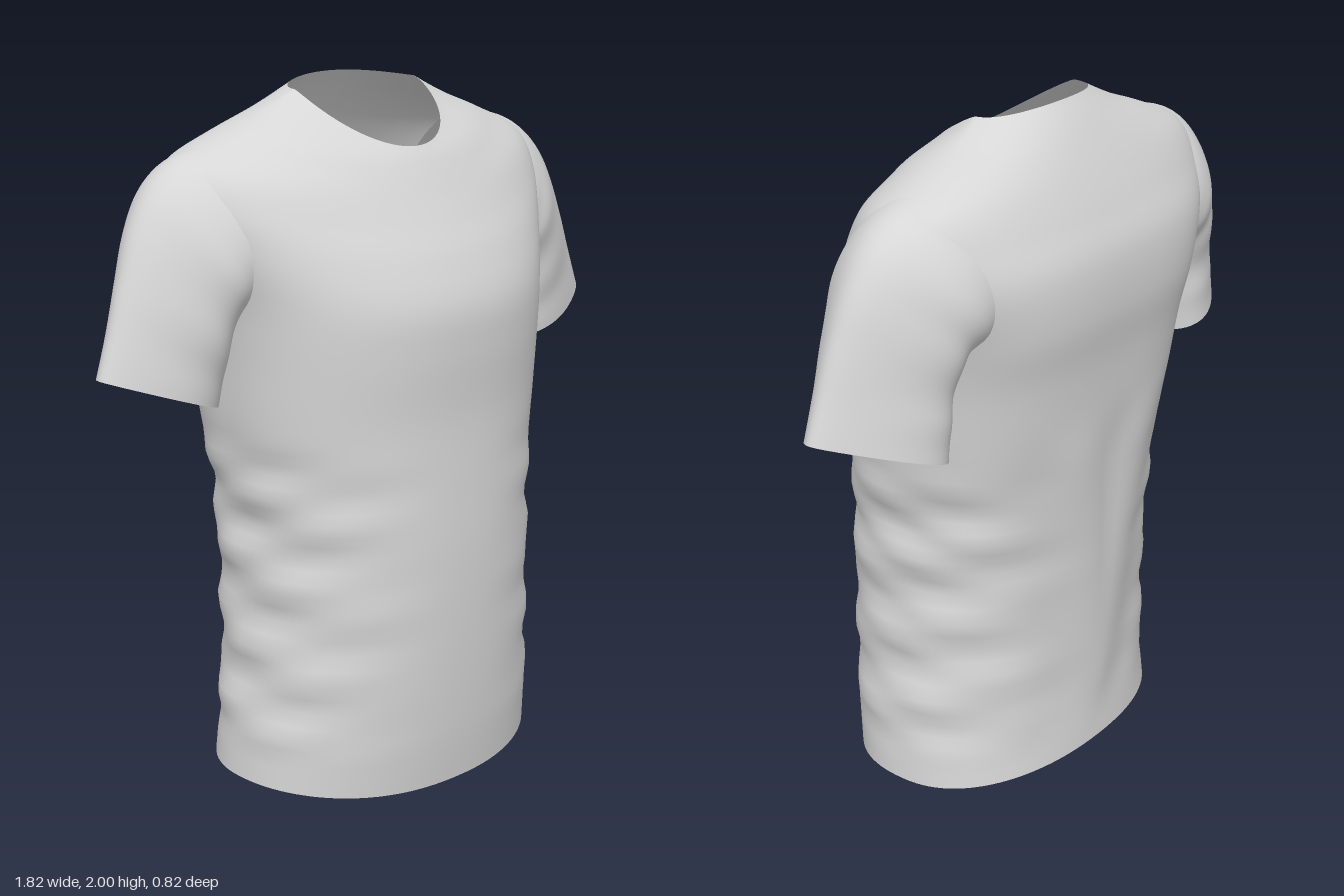
import * as THREE from 'three';

const fabric = new THREE.MeshStandardMaterial({ color: 0xd6d6d6, side: THREE.DoubleSide });
fabric.name = 'light grey fabric';

// Torso rows, hem to neckline:
// side x, y, z | front y, z | back y, z | front and back roundness
const TORSO = [
  [0.515, 0.04, 0.00, 0.00, 0.37, 0.06, -0.34, 2.2, 2.2],
  [0.505, 0.20, 0.00, 0.18, 0.39, 0.20, -0.335, 2.2, 2.1],
  [0.485, 0.45, 0.00, 0.45, 0.405, 0.45, -0.34, 2.2, 2.1],
  [0.480, 0.70, 0.00, 0.70, 0.41, 0.70, -0.35, 2.2, 2.2],
  [0.485, 0.90, 0.00, 0.90, 0.405, 0.90, -0.36, 2.2, 2.4],
  [0.510, 1.10, 0.00, 1.10, 0.40, 1.10, -0.375, 2.2, 2.6],
  [0.525, 1.30, -0.01, 1.29, 0.41, 1.31, -0.39, 2.2, 2.9],
  [0.550, 1.45, -0.03, 1.42, 0.405, 1.47, -0.41, 2.15, 3.1],
  [0.610, 1.60, -0.06, 1.54, 0.36, 1.62, -0.40, 2.0, 2.9],
  [0.650, 1.72, -0.08, 1.63, 0.31, 1.73, -0.355, 1.85, 2.5],
  [0.610, 1.81, -0.09, 1.70, 0.27, 1.81, -0.315, 1.85, 2.3],
  [0.470, 1.875, -0.09, 1.755, 0.24, 1.88, -0.275, 1.9, 2.2],
  [0.340, 1.925, -0.075, 1.80, 0.213, 1.95, -0.23, 2.0, 2.0],
  [0.225, 1.98, -0.06, 1.83, 0.19, 2.00, -0.19, 2.0, 2.0],
];

// Sleeve rows, cuff to shoulder:
// outer x, y, z | inner x, y, z | half depth | how much the outer side narrows
const SLEEVE = [
  [0.910, 1.28, -0.05, 0.540, 1.15, -0.11, 0.155, 0.50],
  [0.870, 1.39, -0.055, 0.530, 1.24, -0.10, 0.162, 0.48],
  [0.825, 1.52, -0.065, 0.520, 1.33, -0.09, 0.175, 0.45],
  [0.770, 1.655, -0.08, 0.500, 1.40, -0.085, 0.195, 0.40],
  [0.700, 1.76, -0.09, 0.470, 1.42, -0.085, 0.215, 0.32],
  [0.610, 1.825, -0.095, 0.420, 1.43, -0.09, 0.225, 0.25],
  [0.480, 1.862, -0.09, 0.360, 1.45, -0.09, 0.215, 0.20],
];

// Smooth blend through a list of parameter rows, t from 0 to 1
function sampleRows(rows, t) {
  const last = rows.length - 1;
  const i = Math.min(Math.floor(t * last), last - 1);
  const f = t * last - i;
  const at = (k) => rows[Math.min(Math.max(k, 0), last)];
  return rows[i].map((p1, c) => {
    const p0 = at(i - 1)[c], p2 = at(i + 1)[c], p3 = at(i + 2)[c];
    return p1 + 0.5 * f * (p2 - p0 + f * (2 * p0 - 5 * p1 + 4 * p2 - p3 + f * (3 * (p1 - p2) + p3 - p0)));
  });
}

const { lerp, smoothstep } = THREE.MathUtils;
const power = (v, e) => Math.sign(v) * Math.abs(v) ** e;
const bump = (v, lo, hi) => smoothstep(v, lo, lo + 0.2) * (1 - smoothstep(v, hi - 0.2, hi));

// Open tube of rings; point(angle, t) gives [x, y, z], skip drops hidden quads
function loft(name, rings, segs, point, flip = false, skip = () => false) {
  const pos = [], index = [];
  for (let i = 0; i <= rings; i++) {
    for (let j = 0; j < segs; j++) pos.push(...point((j / segs) * Math.PI * 2, i / rings));
  }
  for (let i = 0; i < rings; i++) {
    for (let j = 0; j < segs; j++) {
      const a = i * segs + j, b = i * segs + ((j + 1) % segs);
      const c = a + segs, d = b + segs;
      if (skip(pos[a * 3], pos[a * 3 + 1], pos[a * 3 + 2])) continue;
      if (flip) index.push(a, b, c, b, d, c);
      else index.push(a, c, b, b, c, d);
    }
  }
  const geo = new THREE.BufferGeometry();
  geo.setAttribute('position', new THREE.Float32BufferAttribute(pos, 3));
  geo.setIndex(index);
  geo.computeVertexNormals();
  const mesh = new THREE.Mesh(geo, fabric);
  mesh.name = name;
  return mesh;
}

function torsoPoint(angle, t) {
  const [sx, sy, sz, fy, fz, by, bz, nf, nb] = sampleRows(TORSO, t);
  const c = Math.cos(angle), s = Math.sin(angle);
  const front = s >= 0;
  const e = 2 / (front ? nf : nb);
  // The front dips in a round scoop near the neckline
  const dip = Math.abs(s) ** (front ? 2 - 0.85 * smoothstep(t, 0.85, 1) : 2);
  let x = sx * power(c, e);
  const y = sy + ((front ? fy : by) - sy) * dip;
  let z = sz + ((front ? fz : bz) - sz) * Math.abs(s) ** e;
  // Uneven loose folds at the waist sides, long slanted folds down the back
  const phase = c > 0 ? 0 : 1.7;
  const side = Math.abs(c) ** 2 * bump(y, 0.08, 1.1);
  const fold = 0.009 * side * (Math.sin(y * 27 + z * 9 + phase) + 0.6 * Math.sin(y * 43 - z * 14 + phase));
  const drape = front ? 0 : 0.009 * s * s * bump(y, 0.1, 1.2) * Math.sin(Math.abs(x) * 17 - y * 4);
  x += fold * c;
  z += fold * s + drape;
  return [x, y, z];
}

function sleevePoint(sign) {
  return (angle, t) => {
    const [ox, oy, oz, ix, iy, iz, depth, narrow] = sampleRows(SLEEVE, t);
    const c = Math.cos(angle), s = Math.sin(angle);
    const u = (c + 1) / 2;
    // Soft creases toward the underarm
    const crease = 0.005 * (1 - u) * bump(t, 0, 0.9) * Math.sin(t * 22 + angle);
    const z = lerp(iz, oz, u) + (depth * (1 - narrow * c) + crease) * s;
    return [sign * lerp(ix, ox, u), lerp(iy, oy, u), z];
  };
}

export function createModel() {
  const shirt = new THREE.Group();
  shirt.name = 'shirt';
  // Armholes open where the sleeves join
  const armhole = (x, y, z) => Math.abs(x) > 0.45 && Math.hypot((y - 1.59) / 0.12, (z + 0.085) / 0.13) < 1;
  shirt.add(loft('torso', 78, 112, torsoPoint, false, armhole));
  shirt.add(loft('leftSleeve', 36, 56, sleevePoint(1)));
  shirt.add(loft('rightSleeve', 36, 56, sleevePoint(-1), true));
  return shirt;
}
